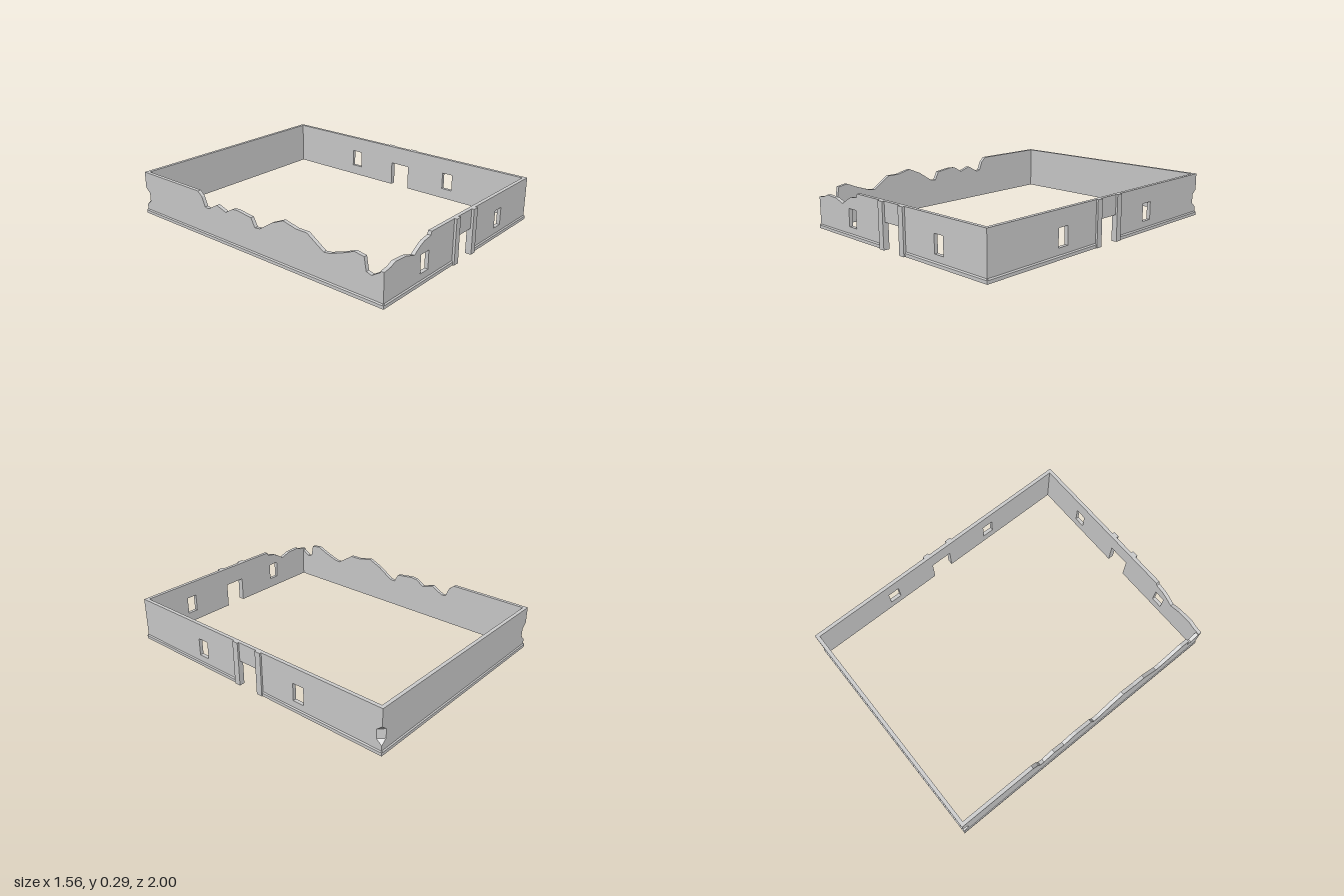
import * as THREE from 'three';

const mat = new THREE.MeshStandardMaterial({ color: 0xcccccc, flatShading: true, side: THREE.DoubleSide });
const H = 0.29, T = 0.024;               // wall height and thickness
const X0 = -0.774, X1 = 0.766;           // outer wall faces
const Z0 = -0.994, Z1 = 0.984;
const POST = 0.042;                      // leg length of the back corner posts
const DOOR = [-0.078, 0.068], DOOR_H = 0.165, PILLAR = 0.042;

const toShape = pts => new THREE.Shape(pts.map(p => new THREE.Vector2(...p)));

// Upright wall panel from an outline, with window openings
function wall(name, outline, windows = []) {
  const shape = toShape(outline);
  for (const [a, b] of windows) {
    shape.holes.push(new THREE.Path([[a, 0.07], [a, 0.185], [b, 0.185], [b, 0.07]].map(p => new THREE.Vector2(...p))));
  }
  const mesh = new THREE.Mesh(new THREE.ExtrudeGeometry(shape, { depth: T, bevelEnabled: false }), mat);
  mesh.name = name;
  return mesh;
}

// Bottom edge of a wall, notched by the doorway
const doorBottom = (a, b) => [[a, 0], [DOOR[0], 0], [DOOR[0], DOOR_H], [DOOR[1], DOOR_H], [DOOR[1], 0], [b, 0]];

// Skirting strip with a sloped top; local x points outward, length runs along local z
function skirting(length, x, z, turn) {
  const shape = toShape([[0, 0], [0.006, 0], [0.006, 0.02], [0, 0.028]]);
  const mesh = new THREE.Mesh(new THREE.ExtrudeGeometry(shape, { depth: length, bevelEnabled: false }), mat);
  mesh.position.set(x, 0, z);
  mesh.rotation.y = turn;
  mesh.name = 'skirting';
  return mesh;
}

// L-shaped corner post whose outer edge is chipped away at mid height
function cornerPost(x, z, sx) {
  const levels = [[0, 0], [0.06, 0], [0.09, 0.036], [0.15, 0.036], [0.18, 0], [H, 0]];
  const section = c => [[0, POST], [0, c], [c, 0], [POST, 0], [POST, T], [T, T], [T, POST]];
  const pos = [], idx = [], n = 7;
  for (const [y, c] of levels) for (const [u, v] of section(c)) pos.push(x + sx * u, y, z + v);
  const tri = (a, b, c) => (sx > 0 ? idx.push(a, c, b) : idx.push(a, b, c));
  for (let l = 0; l < levels.length - 1; l++) {
    for (let i = 0; i < n; i++) {
      const a = l * n + i, b = l * n + (i + 1) % n;
      tri(a, a + n, b);
      tri(b, a + n, b + n);
    }
  }
  // end caps, fanned from the inner corner of the L
  const top = (levels.length - 1) * n;
  for (const i of [0, 1, 2, 3]) {
    if (i < 3) {
      tri(5, i, i + 1);
      tri(top + 5, top + i + 1, top + i);
    }
  }
  tri(5, 3, 4); tri(top + 5, top + 4, top + 3);
  tri(5, 6, 0); tri(top + 5, top, top + 6);
  const geo = new THREE.BufferGeometry();
  geo.setAttribute('position', new THREE.Float32BufferAttribute(pos, 3));
  geo.setIndex(idx);
  const flat = geo.toNonIndexed();
  flat.computeVertexNormals();
  const mesh = new THREE.Mesh(flat, mat);
  mesh.name = 'chippedCorner';
  return mesh;
}

function box(name, w, h, d, x, y, z) {
  const mesh = new THREE.Mesh(new THREE.BoxGeometry(w, h, d), mat);
  mesh.position.set(x, y, z);
  mesh.name = name;
  return mesh;
}

export function createModel() {
  const g = new THREE.Group();
  g.name = 'ruinedEnclosure';
  const za = Z0 + POST, zb = Z1 - T;

  // Front wall, crumbled at its -x end
  const frontBreak = [[-0.35, H], [-0.358, 0.268], [-0.42, 0.257], [-0.455, 0.24], [-0.51, 0.205],
    [-0.58, 0.228], [-0.68, 0.234], [-0.72, 0.216], [X0, 0.208]];
  const front = wall('frontWall', [...doorBottom(X0, X1), [X1, H], ...frontBreak],
    [[-0.445, -0.37], [0.36, 0.433]]);
  front.position.z = zb;
  g.add(front);

  // Intact side wall with door and windows
  const side = wall('sideWall', [...doorBottom(za, zb), [zb, H], [za, H]],
    [[-0.445, -0.365], [0.362, 0.44]]);
  side.rotation.y = -Math.PI / 2;
  side.position.x = X1;
  g.add(side);

  // Crumbled side wall
  const sideBreak = [[zb, 0.2], [0.905, 0.165], [0.87, 0.175], [0.855, 0.255], [0.79, 0.265], [0.72, 0.235],
    [0.62, 0.2], [0.58, 0.195], [0.46, 0.272], [0.38, 0.272], [0.28, 0.294], [0.19, 0.255], [0.09, 0.19],
    [0.05, 0.185], [0.02, 0.24], [-0.1, 0.255], [-0.14, 0.25], [-0.2, 0.215], [-0.28, 0.24],
    [-0.36, 0.195], [-0.39, 0.2], [-0.415, 0.26], [-0.45, H]];
  const broken = wall('brokenSideWall', [[za, 0], [zb, 0], ...sideBreak, [za, H]]);
  broken.rotation.y = -Math.PI / 2;
  broken.position.x = X0 + T;
  g.add(broken);

  // Plain back wall between chipped corners
  const xa = X0 + POST, xb = X1 - POST;
  const back = wall('backWall', [[xa, 0], [xb, 0], [xb, H], [xa, H]]);
  back.position.z = Z0;
  g.add(back, cornerPost(X0, Z0, 1), cornerPost(X1, Z0, -1));

  // Pillars beside both doorways
  for (const c of [DOOR[0] - PILLAR / 2, DOOR[1] + PILLAR / 2]) {
    g.add(box('frontDoorPillar', PILLAR, H, 0.026, c, H / 2, 0.987));
    g.add(box('sideDoorPillar', 0.022, H, PILLAR, 0.767, H / 2, c));
  }

  // Skirting around the outside, interrupted at the doorways
  const e = 0.006, d0 = DOOR[0] - PILLAR, d1 = DOOR[1] + PILLAR;
  for (const [a, b] of [[X0 - e, d0], [d1, X1 + e]]) g.add(skirting(b - a, b, Z1, -Math.PI / 2));
  for (const [a, b] of [[Z0 - e, d0], [d1, Z1 + e]]) g.add(skirting(b - a, X1, a, 0));
  g.add(skirting(X1 - X0 + 2 * e, X0 - e, Z0, Math.PI / 2));
  g.add(skirting(Z1 - Z0 + 2 * e, X0, Z1 + e, Math.PI));
  return g;
}
